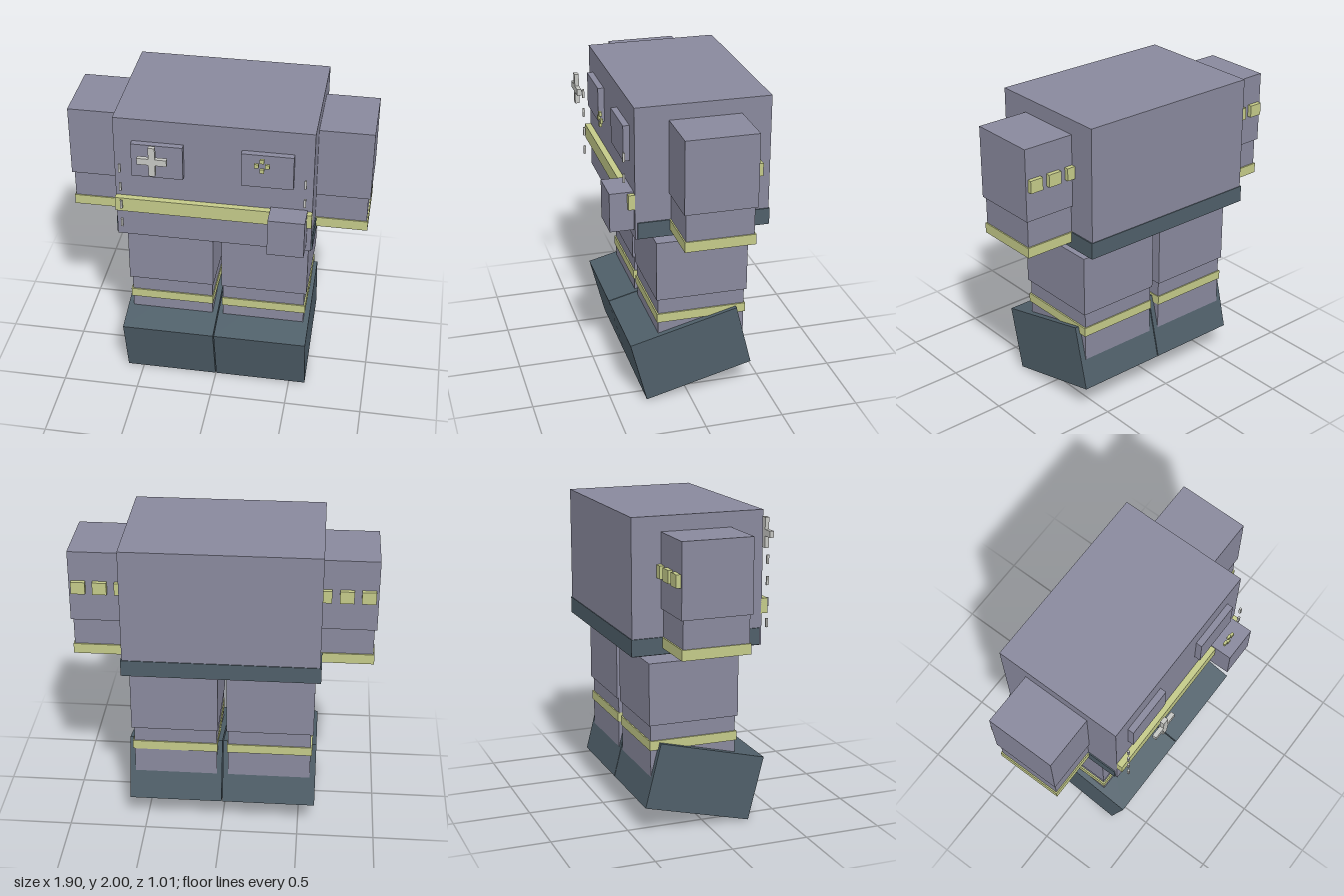
import * as THREE from 'three';

const mat = (name, color) => {
  const m = new THREE.MeshStandardMaterial({ color });
  m.name = name;
  return m;
};

export function createModel() {
  const cloth = mat('greyLilac', 0x89899d);
  const trim = mat('paleYellow', 0xc4ca89);
  const dark = mat('slate', 0x4f5f69);
  const silver = mat('lightGrey', 0xc6c7c3);

  const model = new THREE.Group();
  model.name = 'blockFigure';

  // Box given by its extents on each axis
  const box = (name, material, [x0, x1], [y0, y1], [z0, z1], parent = model) => {
    const mesh = new THREE.Mesh(new THREE.BoxGeometry(x1 - x0, y1 - y0, z1 - z0), material);
    mesh.position.set((x0 + x1) / 2, (y0 + y1) / 2, (z0 + z1) / 2);
    mesh.name = name;
    parent.add(mesh);
    return mesh;
  };
  const group = (name) => {
    const g = new THREE.Group();
    g.name = name;
    model.add(g);
    return g;
  };
  // Mirror an x extent to the chosen side
  const side = (s, a, b) => (s > 0 ? [a, b] : [-b, -a]);

  // Jacket body with hem and chest stripe
  box('torso', cloth, [-0.612, 0.612], [1.156, 2], [-0.5, 0.345]);
  box('hem', dark, [-0.62, 0.62], [1.16, 1.266], [-0.505, 0.33]);
  box('chestStripe', trim, [-0.612, 0.612], [1.355, 1.45], [0.34, 0.385]);
  box('hipPouch', cloth, [0.355, 0.582], [1.21, 1.46], [0.34, 0.495]);

  // Chest pockets
  box('rightPocket', cloth, [-0.498, -0.18], [1.625, 1.85], [0.34, 0.385]);
  box('leftPocket', cloth, [0.175, 0.493], [1.625, 1.85], [0.34, 0.385]);

  // Cross badge floating in front of the right pocket
  const cross = group('crossBadge');
  box('crossUpright', silver, [-0.364, -0.324], [1.71, 1.905], [0.476, 0.503], cross);
  box('crossArmRight', silver, [-0.435, -0.364], [1.786, 1.828], [0.476, 0.503], cross);
  box('crossArmLeft', silver, [-0.324, -0.254], [1.786, 1.828], [0.476, 0.503], cross);

  // Four-petal badge in front of the left pocket
  const petals = group('petalBadge');
  for (const [dx, dy] of [[0, 0.033], [0, -0.033], [0.033, 0], [-0.033, 0]]) {
    const x = 0.314 + dx, y = 1.837 + dy;
    box('petal', trim, [x - 0.013, x + 0.013], [y - 0.013, y + 0.013], [0.473, 0.489], petals);
  }

  // Rows of small tabs down both front edges
  const tabs = group('frontTabs');
  for (const s of [1, -1]) {
    for (const y of [1.682, 1.548, 1.415, 1.281]) {
      box('tab', silver, side(s, 0.561, 0.575), [y - 0.028, y + 0.028], [0.394, 0.408], tabs);
    }
  }

  for (const s of [1, -1]) {
    const label = s > 0 ? 'left' : 'right';

    // Arm: sleeve, forearm, cuff and the patches on the back
    const arm = group(label + 'Arm');
    box('sleeve', cloth, side(s, 0.6, 0.95), [1.442, 1.905], [-0.315, 0.135], arm);
    box('forearm', cloth, side(s, 0.605, 0.936), [1.205, 1.442], [-0.3, 0.122], arm);
    box('cuff', trim, side(s, 0.6, 0.944), [1.2, 1.266], [-0.31, 0.13], arm);
    for (const x of [0.622, 0.757, 0.89]) {
      box('sleevePatch', trim, side(s, x - 0.044, x + 0.044), [1.632, 1.712], [-0.343, -0.314], arm);
    }

    // Leg: thigh, shin and ankle band
    const leg = group(label + 'Leg');
    box('thigh', cloth, side(s, 0.028, 0.586), [0.702, 1.098], [-0.383, 0.206], leg);
    box('shin', cloth, side(s, 0.036, 0.571), [0.3, 0.702], [-0.37, 0.193], leg);
    box('ankleBand', trim, side(s, 0.031, 0.581), [0.54, 0.6], [-0.378, 0.202], leg);

    // Boot, tipped toe-down
    const boot = box('boot', dark, side(s, 0.003, 0.607), [0.084, 0.507], [-0.377, 0.34], leg);
    boot.position.set(s * 0.305, 0.294, -0.018);
    boot.rotation.x = 0.247;
  }

  return model;
}
